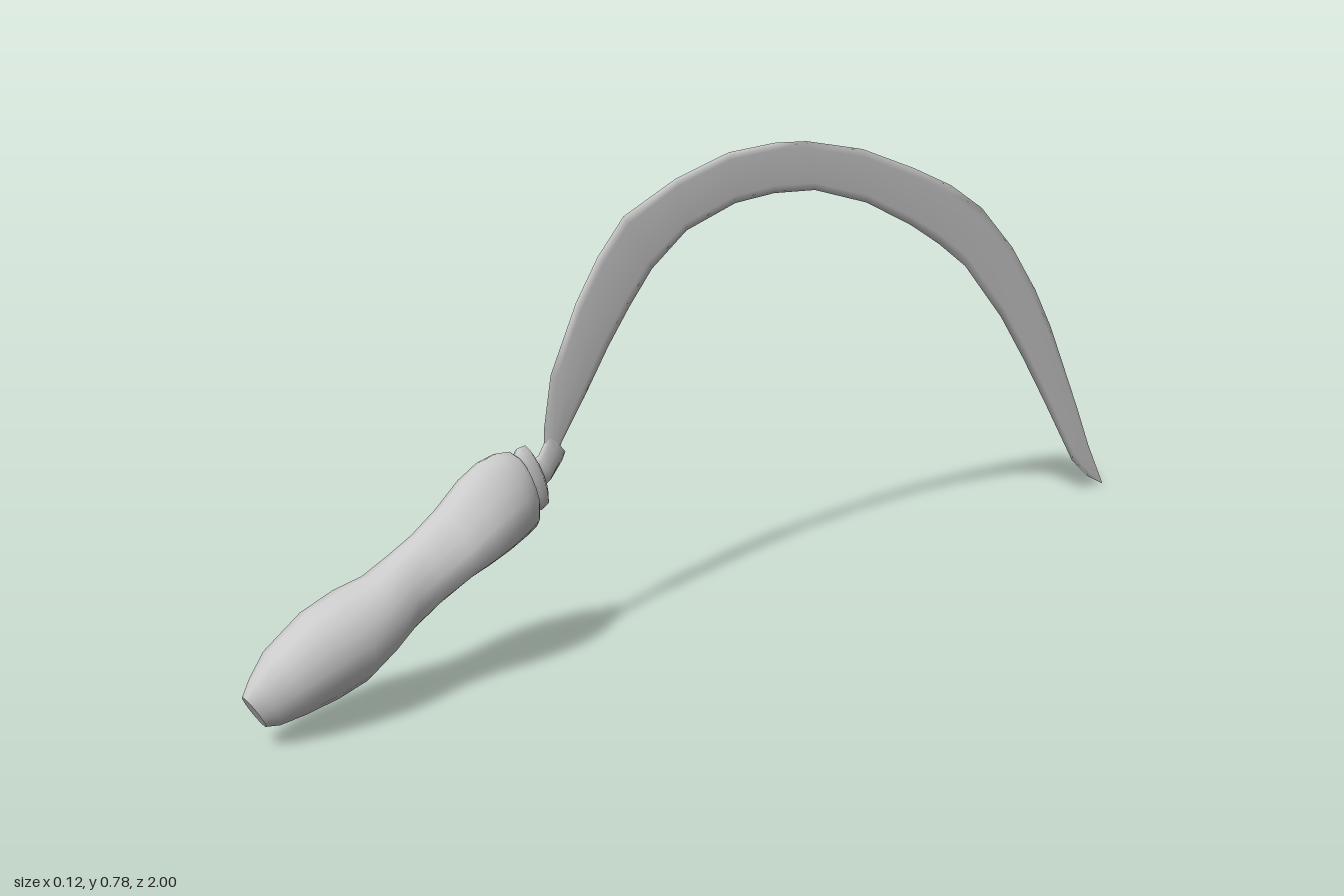
import * as THREE from 'three';

const SIDES = 16;

// Cross-section [zTop, yTop, zBottom, yBottom, halfWidth, skew]; skew > 0 widens the lower part.
function section([zt, yt, zb, yb, w, skew = 0], sides) {
  const ring = [];
  for (let j = 0; j < sides; j++) {
    const a = (j / sides) * Math.PI * 2;
    const t = (1 - Math.cos(a)) / 2;
    ring.push([
      w * Math.sin(a) * (1 - skew * Math.cos(a)),
      yt + (yb - yt) * t,
      zt + (zb - zt) * t,
    ]);
  }
  return ring;
}

// Skin the sections into a smooth closed body with flat end caps.
function loft(name, sections, sides, material) {
  const rings = sections.map((s) => section(s, sides));
  const pos = [];
  const index = [];
  rings.forEach((r) => r.forEach((p) => pos.push(...p)));
  for (let i = 0; i < rings.length - 1; i++) {
    for (let j = 0; j < sides; j++) {
      const k = (j + 1) % sides;
      const a = i * sides + j, b = i * sides + k;
      index.push(a, b, a + sides, b, b + sides, a + sides);
    }
  }
  [rings[0], rings[rings.length - 1]].forEach((ring, end) => {
    const base = pos.length / 3;
    ring.forEach((p) => pos.push(...p));
    for (let j = 1; j < sides - 1; j++) {
      if (end) index.push(base, base + j, base + j + 1);
      else index.push(base, base + j + 1, base + j);
    }
  });
  const g = new THREE.BufferGeometry();
  g.setAttribute('position', new THREE.Float32BufferAttribute(pos, 3));
  g.setIndex(index);
  g.computeVertexNormals();
  const mesh = new THREE.Mesh(g, material);
  mesh.name = name;
  return mesh;
}

export function createModel() {
  const model = new THREE.Group();
  model.name = 'sickle';
  const material = new THREE.MeshStandardMaterial({ color: 0xcccccc, side: THREE.DoubleSide });

  // Contoured grip, from the butt to the flared shoulder
  model.add(loft('handle', [
    [1.0, 0.09, 0.965, 0.035, 0.012],
    [0.985, 0.112, 0.945, 0.032, 0.026],
    [0.954, 0.147, 0.905, 0.038, 0.045],
    [0.885, 0.19, 0.85, 0.048, 0.057],
    [0.825, 0.21, 0.8, 0.063, 0.062],
    [0.775, 0.22, 0.755, 0.092, 0.056, 0.05],
    [0.732, 0.242, 0.71, 0.122, 0.046, 0.1],
    [0.687, 0.265, 0.66, 0.152, 0.047, 0.2],
    [0.64, 0.296, 0.615, 0.178, 0.056, 0.3],
    [0.596, 0.334, 0.572, 0.192, 0.059, 0.35],
    [0.56, 0.355, 0.53, 0.206, 0.056, 0.35],
    [0.53, 0.362, 0.49, 0.22, 0.048, 0.25],
    [0.505, 0.36, 0.465, 0.229, 0.038, 0.1],
    [0.494, 0.352, 0.457, 0.25, 0.028],
  ], SIDES, material));

  // Flattened ring between grip and blade
  model.add(loft('collar', [
    [0.5, 0.342, 0.465, 0.265, 0.014],
    [0.49, 0.362, 0.444, 0.252, 0.02],
    [0.474, 0.364, 0.434, 0.258, 0.02],
    [0.464, 0.352, 0.432, 0.275, 0.013],
  ], 12, material));

  // Short neck carrying the blade
  model.add(loft('tang', [
    [0.475, 0.33, 0.45, 0.285, 0.009],
    [0.448, 0.342, 0.424, 0.298, 0.009],
    [0.435, 0.362, 0.4, 0.325, 0.006],
    [0.428, 0.375, 0.393, 0.338, 0.003],
  ], 8, material));

  // Thin curved blade: outer spine paired with inner edge
  model.add(loft('blade', [
    [0.437, 0.34, 0.415, 0.325, 0.003],
    [0.435, 0.385, 0.4, 0.355, 0.003],
    [0.42, 0.467, 0.352, 0.42, 0.003],
    [0.366, 0.575, 0.3, 0.495, 0.0026],
    [0.32, 0.642, 0.255, 0.552, 0.0024],
    [0.265, 0.7, 0.206, 0.607, 0.0022],
    [0.152, 0.748, 0.13, 0.66, 0.002],
    [0.035, 0.778, 0.02, 0.692, 0.002],
    [-0.07, 0.783, -0.07, 0.698, 0.002],
    [-0.147, 0.778, -0.168, 0.692, 0.002],
    [-0.286, 0.75, -0.297, 0.655, 0.002],
    [-0.42, 0.702, -0.414, 0.6, 0.002],
    [-0.52, 0.66, -0.49, 0.556, 0.002],
    [-0.607, 0.608, -0.564, 0.505, 0.002],
    [-0.698, 0.522, -0.67, 0.393, 0.002],
    [-0.77, 0.43, -0.74, 0.3, 0.002],
    [-0.82, 0.35, -0.81, 0.2, 0.002],
    [-0.91, 0.174, -0.9, 0.067, 0.0018],
    [-0.95, 0.09, -0.95, 0.025, 0.0014],
    [-1.0, 0.001, -0.998, 0, 0.0005],
  ], 8, material));

  return model;
}
